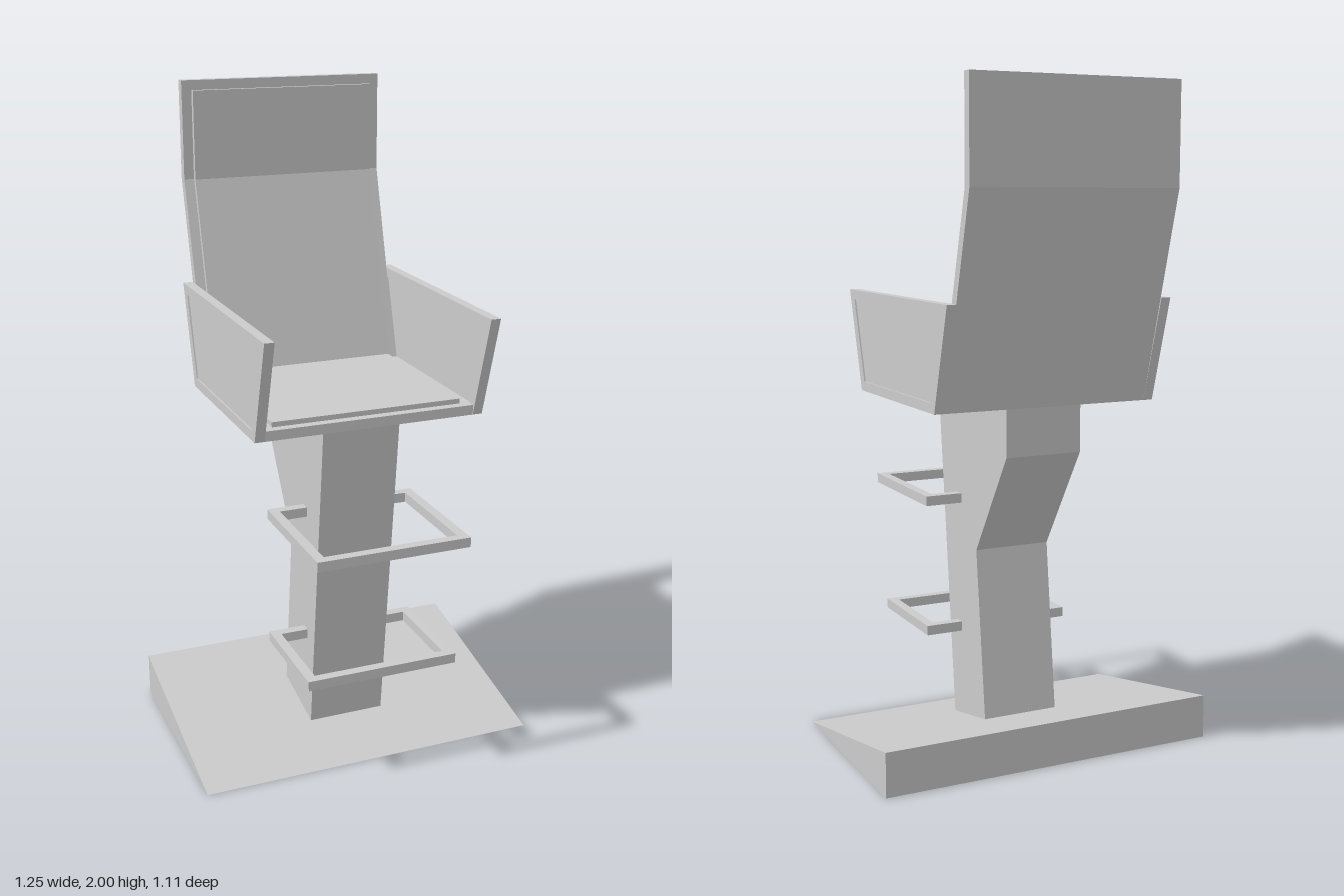
import * as THREE from 'three';

const material = new THREE.MeshStandardMaterial({ color: 0xcccccc, flatShading: true });
const openMaterial = new THREE.MeshStandardMaterial({ color: 0xcccccc, flatShading: true, side: THREE.DoubleSide });

const vectors = (points) => points.map(([a, b]) => new THREE.Vector2(a, b));

function add(parent, name, geometry, mat = material) {
  const mesh = new THREE.Mesh(geometry, mat);
  mesh.name = name;
  parent.add(mesh);
  return mesh;
}

// Extrudes a side profile of [z, y] points across x, centred on x = 0
function sideProfile(points, width, hole) {
  const shape = new THREE.Shape(vectors(points));
  if (hole) shape.holes.push(new THREE.Path(vectors(hole)));
  const geometry = new THREE.ExtrudeGeometry(shape, { depth: width, bevelEnabled: false });
  return geometry.translate(0, 0, -width / 2).rotateY(-Math.PI / 2);
}

// Wedge foot with a rectangular opening under the column
function baseGeometry() {
  const rect = (x, y0, y1) => vectors([[-x, y0], [x, y0], [x, y1], [-x, y1]]);
  const shape = new THREE.Shape(rect(0.532, -0.33, 0.33));
  shape.holes.push(new THREE.Path(rect(0.121, -0.115, 0.11)));
  const geometry = new THREE.ExtrudeGeometry(shape, { depth: 1, bevelEnabled: false });
  geometry.rotateX(-Math.PI / 2);
  const p = geometry.attributes.position;
  for (let i = 0; i < p.count; i++) {
    p.setY(i, p.getY(i) > 0.5 ? ((0.33 - p.getZ(i)) / 0.66) * 0.135 : 0);
  }
  geometry.computeVertexNormals();
  return geometry;
}

// Hollow four-sided column from rings of [front y, front z, back y, back z]
function columnGeometry(rings, w) {
  const positions = [];
  const index = [];
  for (const [yf, zf, yb, zb] of rings) {
    positions.push(-w, yf, zf, w, yf, zf, w, yb, zb, -w, yb, zb);
  }
  for (let r = 0; r < rings.length - 1; r++) {
    for (let k = 0; k < 4; k++) {
      const a = r * 4 + k;
      const b = r * 4 + ((k + 1) % 4);
      index.push(a, b, b + 4, a, b + 4, a + 4);
    }
  }
  const t = (rings.length - 1) * 4;
  index.push(t, t + 1, t + 2, t, t + 2, t + 3);
  const geometry = new THREE.BufferGeometry();
  geometry.setAttribute('position', new THREE.Float32BufferAttribute(positions, 3));
  geometry.setIndex(index);
  const flat = geometry.toNonIndexed();
  flat.computeVertexNormals();
  return flat;
}

// Square-bar foot loop: front bar, two arms and two stubs into the column
function footrest(name, y, front) {
  const group = new THREE.Group();
  group.name = name;
  const t = 0.03, half = 0.238, back = 0.06;
  add(group, 'frontBar', new THREE.BoxGeometry(2 * (half - t), t, t)).position.set(0, y, front - t / 2);
  for (const s of [-1, 1]) {
    const arm = add(group, 'sideBar', new THREE.BoxGeometry(t, t, front - back));
    arm.position.set(s * (half - t / 2), y, (front + back) / 2);
    const stub = add(group, 'mountingStub', new THREE.BoxGeometry(half - t - 0.115, t, t));
    stub.position.set(s * (half - t + 0.115) / 2, y, back + t / 2);
  }
  return group;
}

export function createModel() {
  const model = new THREE.Group();
  model.name = 'barChair';
  const chair = new THREE.Group();
  chair.name = 'chair';
  chair.rotation.y = -Math.PI / 6;
  model.add(chair);

  // Support
  add(chair, 'base', baseGeometry());
  add(chair, 'column', columnGeometry([
    [0.044, 0.115, 0.09, -0.11],
    [0.61, 0.178, 0.61, -0.05],
    [0.93, 0.214, 0.93, -0.26],
    [1.076, 0.23, 1.076, -0.26],
  ], 0.121), openMaterial);
  chair.add(footrest('upperFootrest', 0.752, 0.48));
  chair.add(footrest('lowerFootrest', 0.34, 0.405));

  // Seat shell and its raised cushion
  add(chair, 'seatShell', sideProfile([
    [0.3, 1.075], [0.3, 1.105], [-0.257, 1.105], [-0.427, 1.7],
    [-0.427, 2], [-0.457, 2], [-0.457, 1.7], [-0.28, 1.075],
  ], 0.65));
  add(chair, 'seatCushion', sideProfile([
    [0.272, 1.104], [0.272, 1.12], [-0.246, 1.12], [-0.411, 1.7],
    [-0.411, 1.97], [-0.428, 1.97], [-0.428, 1.7], [-0.258, 1.104],
  ], 0.588));

  // Framed armrests with slightly recessed panels
  const outline = [[0.3, 1.075], [0.395, 1.387], [-0.373, 1.387], [-0.28, 1.075]];
  const inner = [[0.277, 1.105], [0.354, 1.357], [-0.333, 1.357], [-0.257, 1.105]];
  for (const s of [-1, 1]) {
    const arm = new THREE.Group();
    arm.name = s > 0 ? 'leftArmrest' : 'rightArmrest';
    arm.position.x = s * 0.34;
    add(arm, 'armrestFrame', sideProfile(outline, 0.03, inner));
    add(arm, 'armrestPanel', sideProfile(inner, 0.02));
    chair.add(arm);
  }
  return model;
}
